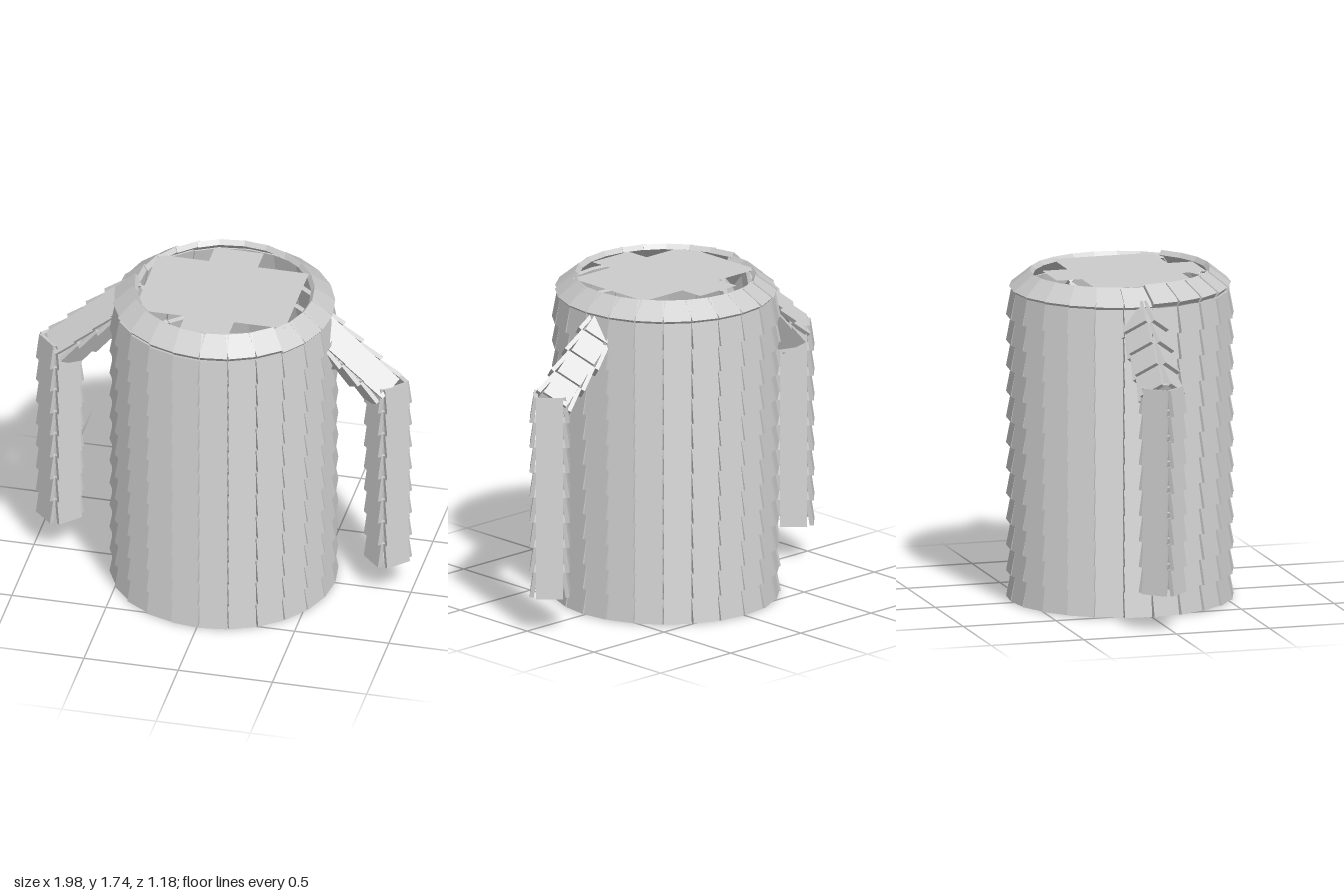
import * as THREE from 'three';

const material = new THREE.MeshStandardMaterial({ color: 0xcccccc, flatShading: true });
const ROW = 0.135;

// One ring of tilted flat tiles around the local y axis, its lower edge at y.
function tileRing({ name, count, radius, y, width, length, thickness, tilt, height = ROW, turn = 0.5, yaw = () => 0, lift = () => 0 }) {
  const ring = new THREE.Group();
  ring.name = name;
  const geometry = new THREE.BoxGeometry(width, length, thickness);
  for (let i = 0; i < count; i++) {
    const a = ((i + turn) / count) * Math.PI * 2;
    const tile = new THREE.Mesh(geometry, material);
    tile.name = 'tile';
    tile.position.set(Math.sin(a) * radius, y + height / 2 + lift(a), Math.cos(a) * radius);
    tile.rotation.order = 'YXZ';
    tile.rotation.set(-tilt, a + yaw(a), 0);
    ring.add(tile);
  }
  return ring;
}

// Square sleeve of overlapping tiles, hanging down from the local origin.
function sleeve(name, rows) {
  const group = new THREE.Group();
  group.name = name;
  for (let i = 0; i < rows; i++) {
    group.add(tileRing({
      name: 'sleeveRow', count: 4, radius: 0.083, y: -(i + 1) * ROW,
      width: 0.138, length: 0.138, thickness: 0.022, tilt: 0.15,
    }));
  }
  return group;
}

function arm(side) {
  const group = new THREE.Group();
  group.name = side > 0 ? 'leftArm' : 'rightArm';
  const upper = sleeve('upperArm', 4);
  upper.position.set(side * 0.46, 1.57, 0);
  upper.rotation.z = side * 0.82;
  const lower = sleeve('forearm', 8);
  lower.position.set(side * 0.87, 1.26, 0);
  group.add(upper, lower);
  group.position.set(0, side > 0 ? 0 : 0.015, -0.035);
  return group;
}

export function createModel() {
  const model = new THREE.Group();
  model.name = 'tiledTunic';

  // Body: twelve overlapping rows of tiles, slightly skewed on the right half
  const body = new THREE.Group();
  body.name = 'body';
  const yaw = (a) => (Math.sin(a) < -0.2 ? 0.07 : 0);
  for (let i = 0; i < 12; i++) {
    body.add(tileRing({
      name: 'bodyRow', count: 24, radius: 0.559, y: i * ROW,
      width: 0.144, length: 0.138, thickness: 0.026, tilt: 0.19, yaw,
    }));
  }

  // Shoulder ring sloping inwards, raised along the front right
  body.add(tileRing({
    name: 'shoulderRing', count: 24, radius: 0.507, y: 1.615, height: 0.1,
    width: 0.142, length: 0.135, thickness: 0.03, tilt: 0.9, yaw,
    lift: (a) => (Math.sin(a) < 0.65 && Math.cos(a) > 0 ? 0.015 : 0),
  }));
  body.position.x = 0.01;
  model.add(body);

  // Cross-shaped top plate
  const outline = [
    [0.4, 0.27], [0.13, 0.27], [0.13, 0.405], [-0.13, 0.405], [-0.13, 0.27], [-0.4, 0.27],
    [-0.4, -0.27], [-0.13, -0.27], [-0.13, -0.405], [0.13, -0.405], [0.13, -0.27], [0.4, -0.27],
  ];
  const shape = new THREE.Shape(outline.map(([x, y]) => new THREE.Vector2(x, y)));
  const plateMaterial = material.clone();
  plateMaterial.side = THREE.DoubleSide;
  const plate = new THREE.Mesh(new THREE.ShapeGeometry(shape), plateMaterial);
  plate.name = 'topPlate';
  plate.rotation.x = -Math.PI / 2;
  plate.position.set(0, 1.71, 0.022);
  model.add(plate);

  model.add(arm(1), arm(-1));
  return model;
}
